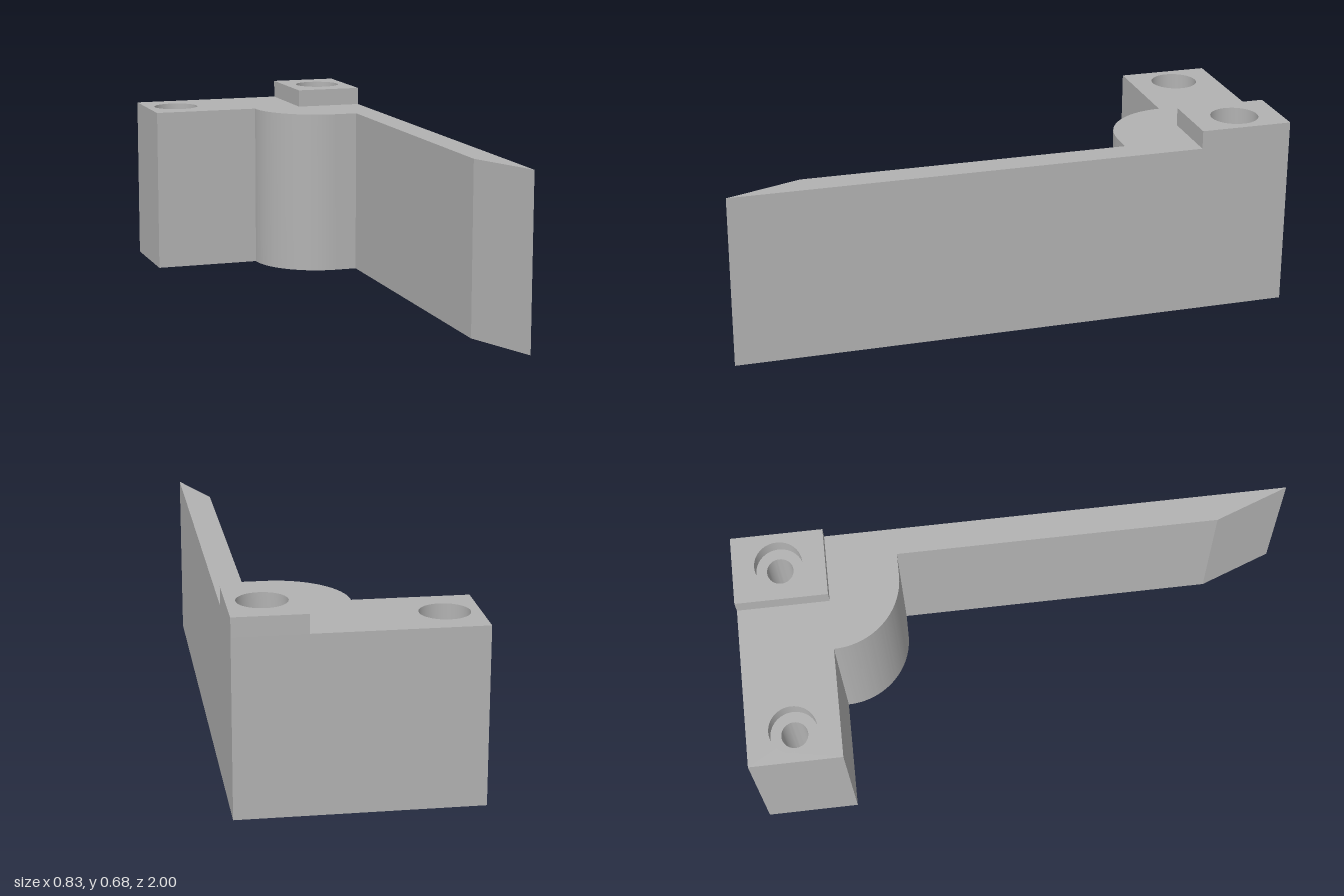
import * as THREE from 'three';
import { toCreasedNormals } from 'three/addons/utils/BufferGeometryUtils.js';

// Plan shapes are drawn as (x, -z) and turned flat.
const W = 0.414, BACK = 1, BLOCK = 0.672, PAD_X = 0.165;
const H = 0.615, PAD_H = 0.68;
const HOLE_X = 0.296, HOLE_Z = 0.837, R_WIDE = 0.085, R_BORE = 0.047, DEPTH = 0.063;
const SEG = 24;

const grey = new THREE.MeshStandardMaterial({ color: 0xb2b2b2 });
grey.name = 'plain grey';

// Bracket outline: rear block, rounded corner, long arm with a slanted tip
function outline(withPadCorner) {
  const s = new THREE.Shape();
  s.moveTo(-W, BACK);
  s.lineTo(-W, BLOCK);
  s.lineTo(-0.017, BLOCK);
  s.absarc(0.235, BLOCK, 0.252, Math.PI, Math.PI * 1.5, false);
  s.lineTo(0.316, 0.42);
  s.lineTo(0.316, -0.735);
  s.lineTo(W, -1);
  if (withPadCorner) {
    s.lineTo(W, BACK);
  } else {
    s.lineTo(W, BLOCK);
    s.lineTo(PAD_X, BLOCK);
    s.lineTo(PAD_X, BACK);
  }
  return s;
}

function padOutline() {
  return new THREE.Shape([
    new THREE.Vector2(PAD_X, BLOCK), new THREE.Vector2(W, BLOCK),
    new THREE.Vector2(W, BACK), new THREE.Vector2(PAD_X, BACK),
  ]);
}

function addHole(shape, x) {
  shape.holes.push(new THREE.Path().absarc(x, HOLE_Z, R_WIDE, 0, Math.PI * 2, true));
  return shape;
}

// Flat face at height y, facing up or down
function face(shape, y, down = false) {
  const g = new THREE.ShapeGeometry(shape, SEG);
  if (down) g.index.array.reverse();
  g.rotateX(-Math.PI / 2).translate(0, y, 0);
  g.computeVertexNormals();
  return g;
}

// Upright walls round an outline, without end caps
function walls(shape, y0, y1) {
  const solid = new THREE.ExtrudeGeometry(shape, { depth: y1 - y0, bevelEnabled: false, curveSegments: SEG });
  const { start, count } = solid.groups[1];
  const g = new THREE.BufferGeometry();
  const pos = solid.attributes.position.array.slice(start * 3, (start + count) * 3);
  g.setAttribute('position', new THREE.BufferAttribute(pos, 3));
  g.rotateX(-Math.PI / 2).translate(0, y0, 0);
  return toCreasedNormals(g, 0.25);
}

// Through hole, counterbored at both ends, facing inward
function bore(x, top) {
  const profile = [
    [R_WIDE, top], [R_WIDE, top - DEPTH], [R_BORE, top - DEPTH],
    [R_BORE, DEPTH], [R_WIDE, DEPTH], [R_WIDE, 0],
  ].map(([r, y]) => new THREE.Vector2(r, y));
  const g = new THREE.LatheGeometry(profile, SEG * 2);
  return toCreasedNormals(g, 0.5).translate(x, 0, -HOLE_Z);
}

export function createModel() {
  const model = new THREE.Group();
  model.name = 'bracket';
  const add = (name, geometry) => {
    const mesh = new THREE.Mesh(geometry, grey);
    mesh.name = name;
    model.add(mesh);
  };

  // Main body
  add('bodyWalls', walls(outline(true), 0, H));
  add('bodyTop', face(addHole(outline(false), -HOLE_X), H));
  add('bodyBottom', face(addHole(addHole(outline(true), -HOLE_X), HOLE_X), 0, true));

  // Raised corner pad
  add('padWalls', walls(padOutline(), H, PAD_H));
  add('padTop', face(addHole(padOutline(), HOLE_X), PAD_H));

  // Screw holes
  add('rightHole', bore(-HOLE_X, H));
  add('leftHole', bore(HOLE_X, PAD_H));

  return model;
}
